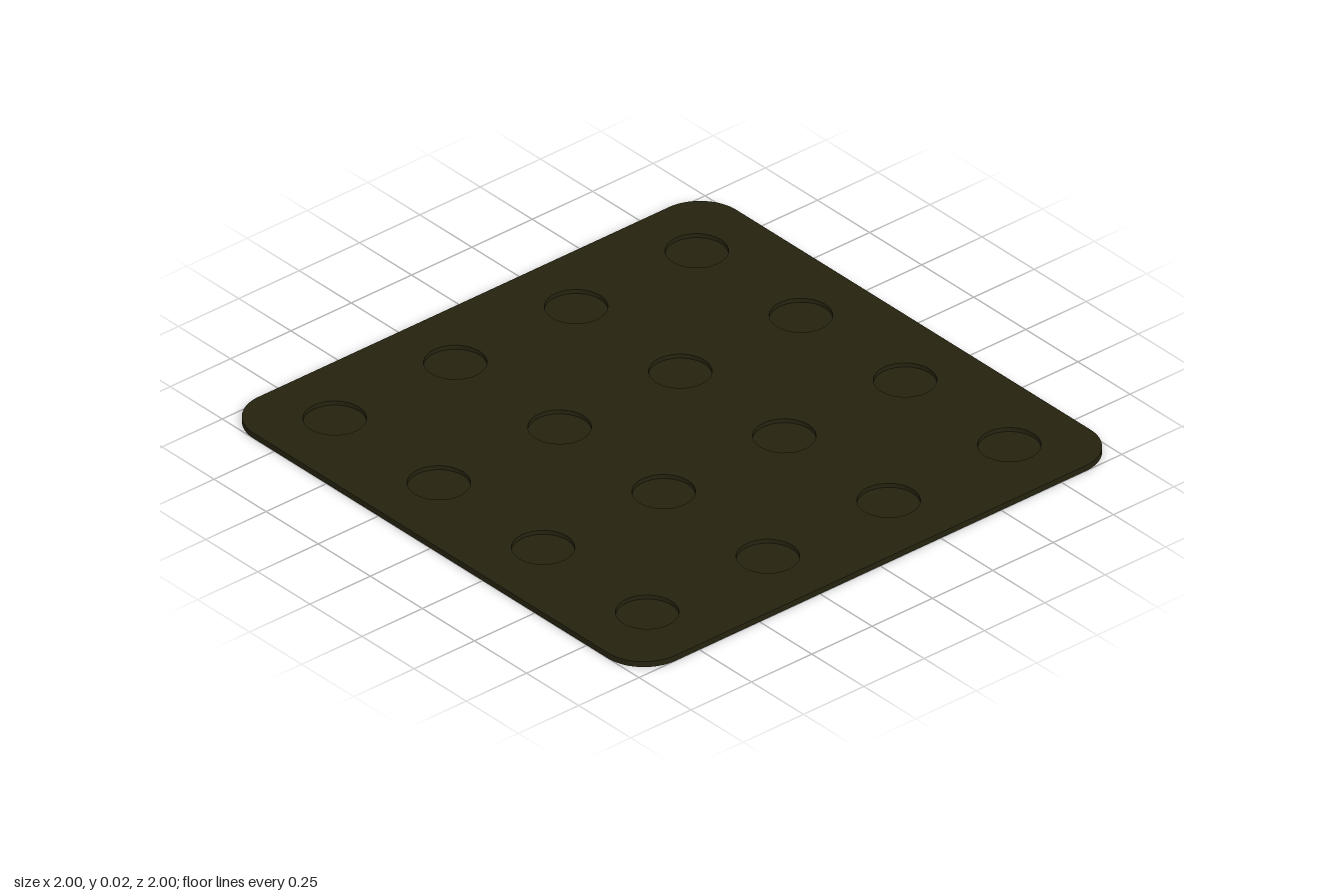
import * as THREE from 'three';
import { toCreasedNormals } from 'three/addons/utils/BufferGeometryUtils.js';

const HALF = 1, CORNER = 0.15, HEIGHT = 0.02, FLOOR = 0.005;
const HOLE_RADIUS = 0.1, PITCH = 0.5, COUNT = 4;

// Square outline with rounded corners
function plateShape() {
  const s = new THREE.Shape(), c = HALF - CORNER;
  s.absarc(c, c, CORNER, 0, Math.PI / 2);
  s.absarc(-c, c, CORNER, Math.PI / 2, Math.PI);
  s.absarc(-c, -c, CORNER, Math.PI, Math.PI * 1.5);
  s.absarc(c, -c, CORNER, Math.PI * 1.5, Math.PI * 2);
  s.closePath();
  return s;
}

// Flat layer lying in the xz plane between two heights
function layer(name, shape, y0, y1, material) {
  const geo = new THREE.ExtrudeGeometry(shape, { depth: y1 - y0, bevelEnabled: false, curveSegments: 16 });
  geo.rotateX(-Math.PI / 2);
  const mesh = new THREE.Mesh(toCreasedNormals(geo, 0.6), material);
  mesh.position.y = y0;
  mesh.name = name;
  return mesh;
}

export function createModel() {
  const group = new THREE.Group();
  group.name = 'dimpledPlate';
  const darkOlive = new THREE.MeshStandardMaterial({ color: 0x25230f });
  darkOlive.name = 'darkOlive';

  // Solid base that closes the recesses from below
  group.add(layer('base', plateShape(), 0, FLOOR, darkOlive));

  // Top layer with a grid of round recesses
  const top = plateShape();
  const start = -PITCH * (COUNT - 1) / 2;
  for (let i = 0; i < COUNT; i++) {
    for (let j = 0; j < COUNT; j++) {
      const hole = new THREE.Path();
      hole.absarc(start + i * PITCH, start + j * PITCH, HOLE_RADIUS, 0, Math.PI * 2, true);
      top.holes.push(hole);
    }
  }
  group.add(layer('recessedTop', top, FLOOR, HEIGHT, darkOlive));
  return group;
}
